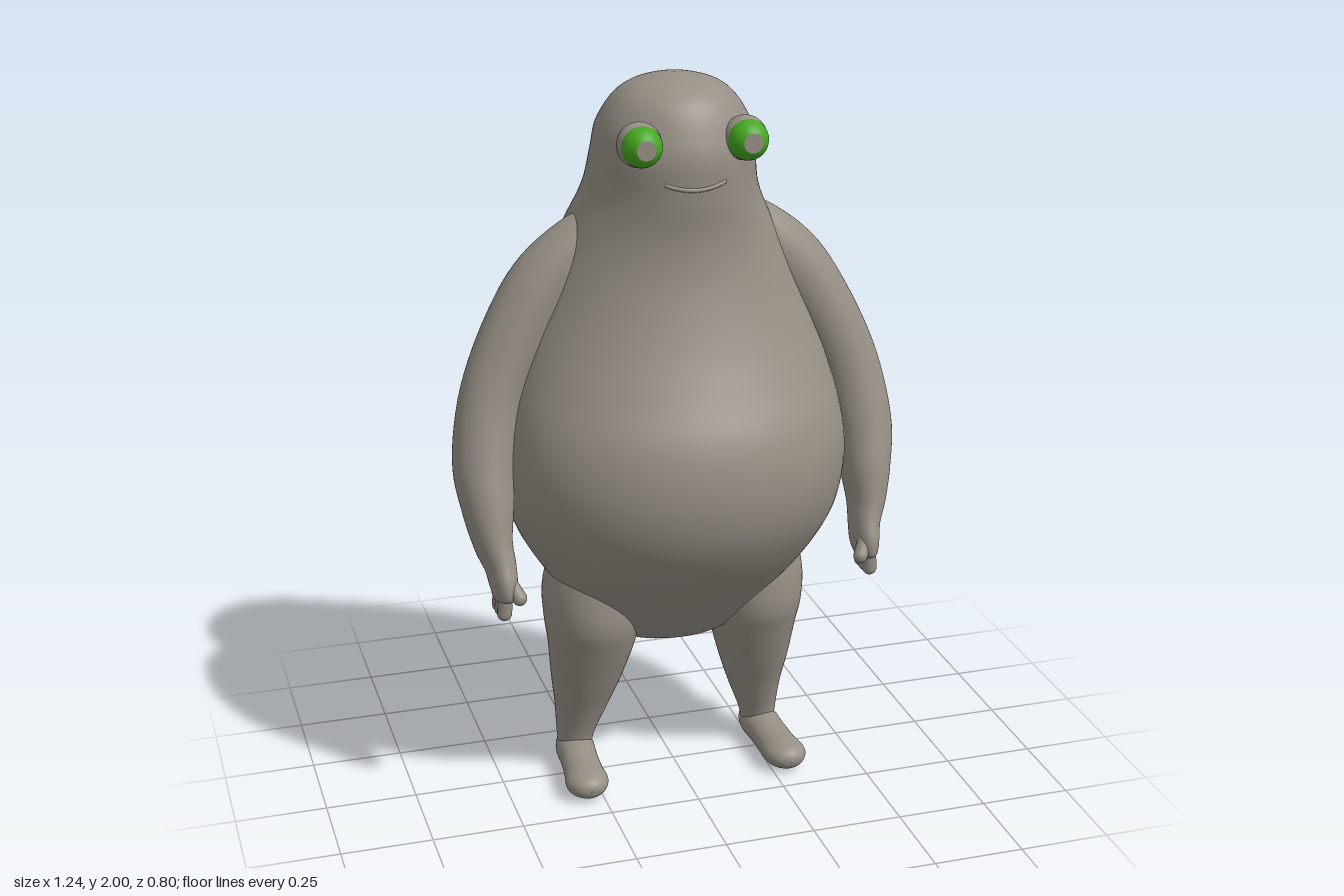
import * as THREE from 'three';

const skin = new THREE.MeshStandardMaterial({ color: 0x968f85 });
skin.name = 'warm grey skin';
const green = new THREE.MeshStandardMaterial({ color: 0x45a820 });
green.name = 'green eye';

const X = new THREE.Vector3(1, 0, 0);
const DOWN = new THREE.Vector3(0, -1, 0);

// Smooth skin through elliptical sections [x, y, z, radiusU, radiusV]; U lies along x.
// With a fixed direction all rings stay parallel, otherwise they follow the path.
function sweep(sections, fixed, steps = 6, sides = 48) {
  const curve = (f) => new THREE.CatmullRomCurve3(sections.map(f), false, 'catmullrom', 0.5);
  const centres = curve((s) => new THREE.Vector3(s[0], s[1], s[2]));
  const radii = curve((s) => new THREE.Vector3(s[3], s[4], 0));
  const n = (sections.length - 1) * steps;
  const pos = [], index = [];
  for (let i = 0; i <= n; i++) {
    const c = centres.getPoint(i / n), r = radii.getPoint(i / n);
    const t = fixed || centres.getTangent(i / n);
    const u = X.clone().addScaledVector(t, -X.dot(t)).normalize();
    const v = new THREE.Vector3().crossVectors(t, u);
    for (let j = 0; j < sides; j++) {
      const a = (j / sides) * Math.PI * 2;
      const p = c.clone().addScaledVector(u, r.x * Math.cos(a)).addScaledVector(v, r.y * Math.sin(a));
      pos.push(p.x, p.y, p.z);
      if (i < n) {
        const k = (j + 1) % sides, p0 = i * sides, p1 = p0 + sides;
        index.push(p0 + j, p0 + k, p1 + j, p0 + k, p1 + k, p1 + j);
      }
    }
  }
  const g = new THREE.BufferGeometry();
  g.setAttribute('position', new THREE.Float32BufferAttribute(pos, 3));
  g.setIndex(index);
  g.computeVertexNormals();
  return g;
}

// Rounded finger from point a to point b
function finger(a, b, r) {
  const from = new THREE.Vector3(...a), to = new THREE.Vector3(...b);
  const d = to.clone().sub(from), len = d.length();
  const g = new THREE.CapsuleGeometry(r, len, 8, 16);
  g.applyQuaternion(new THREE.Quaternion().setFromUnitVectors(new THREE.Vector3(0, 1, 0), d.normalize()));
  const m = from.add(to).multiplyScalar(0.5);
  return g.translate(m.x, m.y, m.z);
}

export function createModel() {
  const model = new THREE.Group();
  const add = (parent, name, geometry, material = skin) => {
    const mesh = new THREE.Mesh(geometry, material);
    mesh.name = name;
    parent.add(mesh);
    return mesh;
  };

  // Head and pear-shaped body: [y, half width, front z, back z]
  const body = [
    [2.0, 0.001, 0.011, 0.009], [1.992, 0.065, 0.07, -0.055], [1.972, 0.122, 0.125, -0.11],
    [1.935, 0.165, 0.17, -0.162], [1.87, 0.203, 0.2, -0.202], [1.8, 0.215, 0.217, -0.232],
    [1.7, 0.232, 0.212, -0.27], [1.6, 0.277, 0.202, -0.304], [1.5, 0.322, 0.21, -0.335],
    [1.4, 0.362, 0.236, -0.36], [1.3, 0.402, 0.273, -0.38], [1.2, 0.435, 0.322, -0.39],
    [1.1, 0.46, 0.375, -0.398], [1.0, 0.475, 0.4, -0.4], [0.9, 0.472, 0.4, -0.395],
    [0.8, 0.45, 0.372, -0.37], [0.7, 0.4, 0.312, -0.32], [0.6, 0.33, 0.23, -0.24],
    [0.5, 0.24, 0.15, -0.15], [0.44, 0.17, 0.1, -0.1], [0.42, 0.11, 0.06, -0.06], [0.418, 0.001, 0.001, -0.001],
  ];
  add(model, 'body', sweep(body.map(([y, w, f, b]) => [0, y, (f + b) / 2, w, (f - b) / 2]), DOWN, 5, 72));

  // Smiling lip that follows the curve of the face
  const lip = [];
  for (let i = -4; i <= 4; i++) {
    const x = i * 0.02;
    lip.push(new THREE.Vector3(x, 1.738 + 2.4 * x * x, -0.02 + 0.234 * Math.sqrt(1 - (x / 0.222) ** 2)));
  }
  add(model, 'mouth', new THREE.TubeGeometry(new THREE.CatmullRomCurve3(lip), 32, 0.006, 8));

  for (const s of [1, -1]) {
    const side = s > 0 ? 'left' : 'right';
    const flip = (list) => list.map(([x, ...rest]) => [x * s, ...rest]);

    // Bulging eye: lid behind, truncated green ball with a flat grey pupil
    const eye = new THREE.Group();
    eye.name = side + 'Eye';
    eye.position.set(0.14 * s, 1.855, 0.195);
    model.add(eye);
    const r = 0.053, open = 0.5;
    add(eye, 'eyelid', new THREE.SphereGeometry(0.058, 32, 20)).position.z = -0.025;
    add(eye, 'eyeball', new THREE.SphereGeometry(r, 32, 20, 0, Math.PI * 2, open, Math.PI - open).rotateX(Math.PI / 2), green);
    add(eye, 'pupil', new THREE.CircleGeometry(r * Math.sin(open), 32)).position.z = r * Math.cos(open);

    // Arm, curving out from the shoulder and forward to the hand
    const arm = new THREE.Group();
    arm.name = side + 'Arm';
    model.add(arm);
    add(arm, 'arm', sweep(flip([
      [0.13, 1.62, -0.035, 0.05, 0.05], [0.21, 1.565, -0.035, 0.085, 0.075], [0.33, 1.465, -0.035, 0.095, 0.085],
      [0.42, 1.34, -0.025, 0.09, 0.085], [0.5, 1.17, 0.0, 0.085, 0.08], [0.535, 1.0, 0.035, 0.083, 0.084],
      [0.535, 0.88, 0.072, 0.07, 0.08], [0.53, 0.79, 0.1, 0.053, 0.072], [0.517, 0.73, 0.125, 0.042, 0.064],
      [0.513, 0.68, 0.142, 0.036, 0.066], [0.515, 0.645, 0.145, 0.026, 0.05], [0.516, 0.63, 0.147, 0.001, 0.001],
    ])));
    for (const z of [0.112, 0.143, 0.174]) {
      add(arm, 'finger', finger([0.514 * s, 0.68, z], [0.519 * s, 0.61, z - 0.003], 0.02));
    }
    add(arm, 'thumb', finger([0.51 * s, 0.71, 0.165], [0.482 * s, 0.66, 0.195], 0.02));

    // Tapering leg
    add(model, side + 'Leg', sweep(flip([
      [0.23, 0.74, 0, 0.1, 0.13], [0.235, 0.6, 0, 0.135, 0.15], [0.236, 0.5, 0.002, 0.134, 0.15],
      [0.236, 0.42, -0.005, 0.123, 0.13], [0.247, 0.3, -0.026, 0.1, 0.102], [0.258, 0.2, -0.047, 0.076, 0.078],
      [0.272, 0.11, -0.06, 0.055, 0.058], [0.277, 0.05, -0.062, 0.045, 0.052],
    ]), DOWN));

    // Long flat foot, turned slightly outward
    add(model, side + 'Foot', sweep(flip([
      [0.275, 0.056, -0.12, 0.001, 0.001], [0.275, 0.056, -0.113, 0.028, 0.028], [0.276, 0.055, -0.095, 0.046, 0.045],
      [0.278, 0.054, -0.05, 0.055, 0.05], [0.282, 0.052, 0.01, 0.053, 0.047], [0.287, 0.047, 0.08, 0.055, 0.042],
      [0.291, 0.046, 0.14, 0.06, 0.04], [0.292, 0.046, 0.175, 0.047, 0.032], [0.292, 0.046, 0.193, 0.026, 0.018],
      [0.292, 0.046, 0.199, 0.001, 0.001],
    ]), new THREE.Vector3(0, 0, 1)));
  }
  return model;
}
